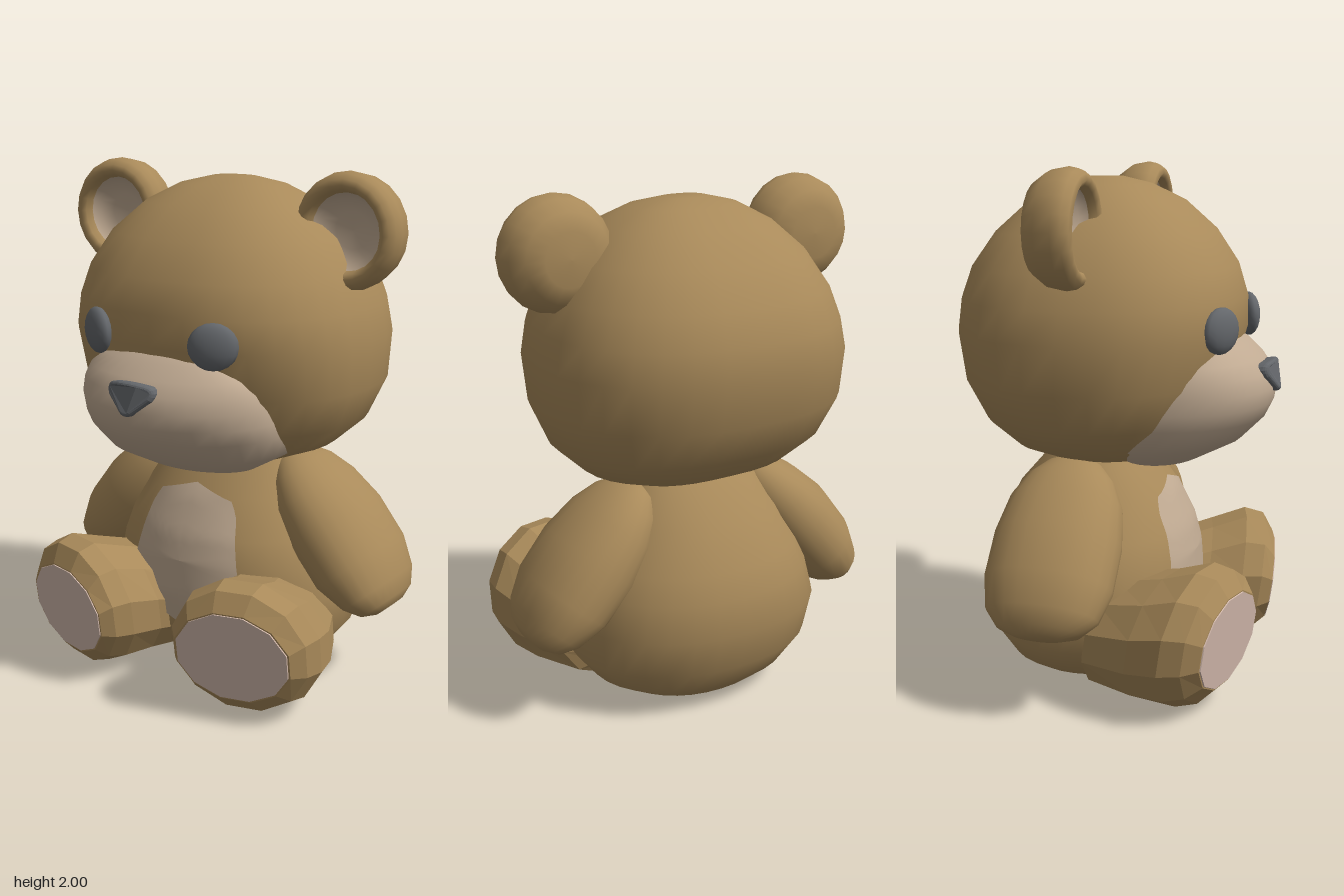
import * as THREE from 'three';
import { ParametricGeometry } from 'three/addons/geometries/ParametricGeometry.js';

const mat = (color) => new THREE.MeshStandardMaterial({ color });
const FUR = mat(0xa98a5a), CREAM = mat(0xc0aa92), PAD = mat(0xd4baad), DARK = mat(0x64676b);

function add(parent, name, geometry, material) {
  const mesh = new THREE.Mesh(geometry, material);
  mesh.name = name;
  parent.add(mesh);
  return mesh;
}

// Closed loft of superellipse rings; each row is [y, half width, front z, back z], y rising
function loft(rows, sides, power = 2, turn = 0) {
  const pos = [], index = [];
  const round = (v) => Math.sign(v) * Math.abs(v) ** (2 / power);
  for (const [y, hx, zf, zb] of rows) {
    for (let j = 0; j < sides; j++) {
      const a = ((j + turn) / sides) * Math.PI * 2;
      pos.push(hx * round(Math.sin(a)), y, (zf + zb) / 2 + ((zf - zb) / 2) * round(Math.cos(a)));
    }
  }
  for (let i = 0; i < rows.length - 1; i++) {
    for (let j = 0; j < sides; j++) {
      const k = (j + 1) % sides;
      const a = i * sides + j, b = i * sides + k, c = b + sides, d = a + sides;
      index.push(a, b, c, a, c, d);
    }
  }
  // end caps
  const bottom = pos.length / 3, top = bottom + 1, last = (rows.length - 1) * sides;
  const r0 = rows[0], r1 = rows[rows.length - 1];
  pos.push(0, r0[0], (r0[2] + r0[3]) / 2, 0, r1[0], (r1[2] + r1[3]) / 2);
  for (let j = 0; j < sides; j++) {
    const k = (j + 1) % sides;
    index.push(bottom, k, j, top, last + j, last + k);
  }
  const g = new THREE.BufferGeometry();
  g.setAttribute('position', new THREE.Float32BufferAttribute(pos, 3));
  g.setIndex(index);
  g.computeVertexNormals();
  return g;
}

const BODY_POWER = 2.12;
const BODY = [
  [0, 0.18, 0.05, -0.28], [0.04, 0.31, 0.14, -0.37], [0.1, 0.42, 0.22, -0.44],
  [0.2, 0.5, 0.28, -0.5], [0.36, 0.52, 0.305, -0.545], [0.5, 0.485, 0.295, -0.525],
  [0.6, 0.445, 0.27, -0.49], [0.75, 0.36, 0.2, -0.415], [0.88, 0.28, 0.1, -0.3],
  [1.0, 0.2, 0.02, -0.2],
];
const HEAD = [
  [0.872, 0.16, 0.1, -0.18], [0.895, 0.29, 0.17, -0.28], [0.95, 0.43, 0.25, -0.4],
  [1.05, 0.54, 0.34, -0.51], [1.2, 0.605, 0.42, -0.59], [1.38, 0.615, 0.47, -0.622],
  [1.5, 0.59, 0.47, -0.61], [1.62, 0.545, 0.435, -0.57], [1.75, 0.46, 0.35, -0.48],
  [1.86, 0.335, 0.23, -0.36], [1.925, 0.21, 0.1, -0.24], [1.953, 0.09, -0.01, -0.14],
];
// muzzle rows: [y, half width, front z, centre z]
const MUZZLE = [
  [0.865, 0.12, 0.24, 0.18], [0.885, 0.25, 0.32, 0.16], [0.96, 0.38, 0.47, 0.14],
  [1.05, 0.41, 0.56, 0.19], [1.11, 0.41, 0.59, 0.23], [1.17, 0.405, 0.6, 0.26],
  [1.23, 0.385, 0.58, 0.3], [1.28, 0.345, 0.545, 0.34], [1.33, 0.27, 0.49, 0.38],
  [1.37, 0.14, 0.44, 0.4],
].map(([y, hx, zf, zc]) => [y, hx, zf, 2 * zc - zf]);

// z of the body's front surface
function bodyFront(x, y) {
  const i = BODY.findIndex((r) => r[0] > y);
  const a = BODY[i - 1], b = BODY[i], t = (y - a[0]) / (b[0] - a[0]);
  const [hx, zf, zb] = [1, 2, 3].map((n) => THREE.MathUtils.lerp(a[n], b[n], t));
  return (zf + zb) / 2 + ((zf - zb) / 2) * (1 - Math.abs(x / hx) ** BODY_POWER) ** (1 / BODY_POWER);
}

// Tummy patch: polygon draped over the body
function tummyGeometry() {
  const half = [[0, 0.23], [0.1, 0.27], [0.22, 0.36], [0.245, 0.47], [0.2, 0.68], [0.17, 0.74], [0, 0.79]];
  const pts = [...half, ...half.slice(1, -1).reverse().map(([x, y]) => [-x, y])];
  const outline = new THREE.Shape(pts.map(([x, y]) => new THREE.Vector2(x, y)));
  outline.closePath();
  const g = new ParametricGeometry((u, v, target) => {
    const p = outline.getPointAt(v % 1);
    const x = p.x * u, y = 0.5 + (p.y - 0.5) * u;
    target.set(x, y, bodyFront(x, y) + 0.007);
  }, 8, 48);
  g.computeVertexNormals();
  return g;
}

// Nose: rounded triangle, bent round the muzzle
function noseGeometry() {
  const s = new THREE.Shape();
  s.moveTo(-0.07, 0.045);
  s.quadraticCurveTo(0, 0.055, 0.07, 0.045);
  s.quadraticCurveTo(0.105, 0.04, 0.085, 0.01);
  s.lineTo(0.018, -0.046);
  s.quadraticCurveTo(0, -0.058, -0.018, -0.046);
  s.lineTo(-0.085, 0.01);
  s.quadraticCurveTo(-0.105, 0.04, -0.07, 0.045);
  const g = new THREE.ExtrudeGeometry(s, {
    depth: 0.025, bevelSize: 0.012, bevelThickness: 0.014, bevelSegments: 3, curveSegments: 5,
  });
  const p = g.attributes.position;
  for (let i = 0; i < p.count; i++) p.setZ(i, p.getZ(i) - 2.5 * p.getX(i) ** 2);
  g.computeVertexNormals();
  return g.rotateX(-0.15);
}

const lathe = (pts) =>
  new THREE.LatheGeometry(pts.map(([r, z]) => new THREE.Vector2(r, z)), 20).rotateX(Math.PI / 2);

// Leg rows along the leg: [distance, half width, underside y, top y]
const LEG = [
  [-0.5, 0.2, 0.08, 0.36], [-0.45, 0.27, 0.02, 0.45], [-0.26, 0.275, 0.01, 0.51],
  [-0.13, 0.28, 0.01, 0.558], [-0.05, 0.26, 0.035, 0.54], [0, 0.222, 0.094, 0.466],
];
// The leg curves outwards and its sole leans out and down
function legGeometry(rows, side) {
  const g = loft(rows.map(([s, w, low, high]) => [s, w, -low, -high]), 12, 2, 0.5);
  g.rotateX(Math.PI / 2);
  const p = g.attributes.position;
  for (let i = 0; i < p.count; i++) {
    const x = p.getX(i), y = p.getY(i), z = p.getZ(i);
    p.setXYZ(i, x - side * 0.68 * z * z, y, z - side * 0.26 * x + 0.14 * (y - 0.28));
  }
  const flat = g.toNonIndexed();
  flat.computeVertexNormals();
  return flat;
}

// Arm rows from hand to shoulder: [distance, half thickness, half width]
const ARM = [
  [-0.355, 0.04, 0.09], [-0.33, 0.085, 0.16], [-0.27, 0.125, 0.215], [-0.15, 0.168, 0.245],
  [0.03, 0.177, 0.245], [0.18, 0.15, 0.22], [0.28, 0.115, 0.17], [0.345, 0.07, 0.11], [0.37, 0.03, 0.05],
].map(([t, h, w]) => [t, h, w, -w]);

export function createModel() {
  const bear = new THREE.Group();
  bear.name = 'teddyBear';

  add(bear, 'body', loft(BODY, 32, BODY_POWER), FUR);
  add(bear, 'tummyPatch', tummyGeometry(), CREAM);
  add(bear, 'head', loft(HEAD, 32, 2.3), FUR);
  add(bear, 'muzzle', loft(MUZZLE, 32), CREAM);
  add(bear, 'nose', noseGeometry(), DARK).position.set(0, 1.213, 0.575);

  const legFur = FUR.clone(), pad = PAD.clone();
  legFur.flatShading = pad.flatShading = true;

  for (const side of [1, -1]) {
    const label = side > 0 ? 'left' : 'right';

    const eye = add(bear, label + 'Eye', new THREE.SphereGeometry(1, 14, 10), DARK);
    eye.scale.set(0.093, 0.087, 0.04);
    eye.position.set(side * 0.262, 1.41, 0.44);
    eye.rotation.y = side * 0.48;

    // Ear: domed back and rolled rim around a pale dish
    const ear = new THREE.Group();
    ear.name = label + 'Ear';
    ear.position.set(side * 0.524, 1.783, 0);
    add(ear, 'earShell', lathe([[0, -0.192], [0.1, -0.188], [0.165, -0.165], [0.205, -0.11], [0.217, -0.045],
      [0.21, -0.01], [0.192, 0.014], [0.17, 0.02], [0.152, 0.008], [0.142, -0.02]]), FUR);
    add(ear, 'earDish', lathe([[0.142, -0.02], [0.12, -0.05], [0.07, -0.07], [0, -0.075]]), CREAM);
    bear.add(ear);

    const arm = add(bear, label + 'Arm', loft(ARM, 24, 2.1), FUR);
    arm.position.set(side * 0.472, 0.603, -0.125);
    arm.rotation.z = side * 0.706;

    // Leg with a flat sole pad
    const leg = new THREE.Group();
    leg.name = label + 'Leg';
    add(leg, 'legFur', legGeometry(LEG, side), legFur);
    add(leg, 'solePad', legGeometry([[-0.004, 0.217, 0.098, 0.462], [0.004, 0.214, 0.1, 0.46]], side), pad);
    leg.position.set(side * 0.395, 0, 0.515);
    bear.add(leg);
  }
  return bear;
}
